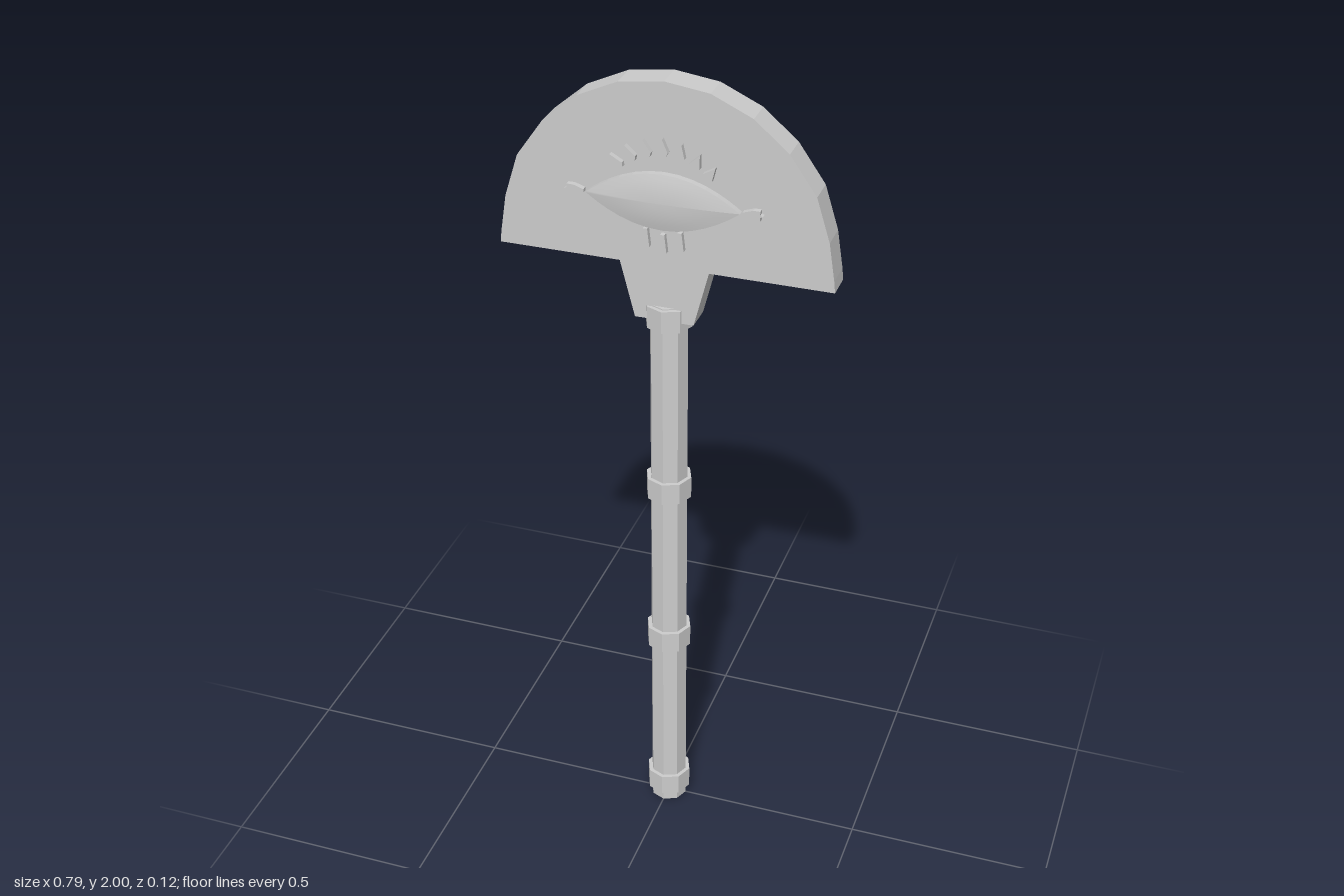
import * as THREE from 'three';

const steel = new THREE.MeshStandardMaterial({ color: 0xcccccc });
steel.name = 'plain grey';

const EYE_Y = 1.725, FACE = 0.035;

function add(parent, name, geometry, x = 0, y = 0, z = 0) {
  const mesh = new THREE.Mesh(geometry, steel);
  mesh.name = name;
  mesh.position.set(x, y, z);
  parent.add(mesh);
  return mesh;
}

function slab(points, depth) {
  const shape = new THREE.Shape(points.map(p => new THREE.Vector2(p[0], p[1])));
  return new THREE.ExtrudeGeometry(shape, { depth, bevelEnabled: false });
}

// eight-sided faceted prism
function prism(radius, height) {
  const g = new THREE.CylinderGeometry(radius, radius, height, 8).toNonIndexed();
  g.computeVertexNormals();
  return g;
}

// almond outline with sharp corners left and right
const almond = (a, r = 1) => {
  const s = Math.sin(a);
  return [0.178 * r * Math.cos(a), 0.067 * r * s * Math.abs(s)];
};

function createEye() {
  const eye = new THREE.Group();
  eye.name = 'eyeOrnament';

  // almond plate with a low dome on top
  const outline = [];
  for (let i = 0; i < 32; i++) outline.push(almond(i / 32 * Math.PI * 2));
  add(eye, 'eyePlate', slab(outline, 0.015), 0, EYE_Y, FACE);
  const dome = new THREE.RingGeometry(0.001, 1, 32, 5);
  const p = dome.attributes.position;
  for (let i = 0; i < p.count; i++) {
    const r = Math.hypot(p.getX(i), p.getY(i));
    const [x, y] = almond(Math.atan2(p.getY(i), p.getX(i)), r);
    p.setXYZ(i, x, y, 0.009 * (1 - r * r));
  }
  dome.computeVertexNormals();
  add(eye, 'eyeDome', dome, 0, EYE_Y, FACE + 0.015);

  // pointed upper lashes fanned along the lid: x, y, tilt
  const lash = slab([[-0.008, -0.018], [0.008, -0.018], [0.013, -0.009], [0, 0.021], [-0.013, -0.009]], 0.013);
  const lashes = [[0, 1.851, 0], [0.04, 1.844, 0.2], [0.077, 1.828, 0.42], [0.108, 1.805, 0.65]];
  for (const [x, y, tilt] of lashes) {
    for (const side of x ? [-1, 1] : [1]) {
      add(eye, 'upperLash', lash, side * x, y, FACE).rotation.z = -side * tilt;
    }
  }

  // lower lashes, flaring downwards
  const drop = slab([[-0.01, -0.02], [0, -0.024], [0.01, -0.02], [0.005, 0.024], [-0.005, 0.024]], 0.013);
  for (const x of [-0.04, 0, 0.04]) add(eye, 'lowerLash', drop, x, x ? 1.632 : 1.622, FACE);

  // small pointed studs at both corners
  const stud = slab([[-0.022, -0.004], [0.002, -0.012], [0.018, -0.012], [0.018, -0.003], [0.024, 0],
    [0.018, 0.003], [0.018, 0.012], [0.002, 0.012], [-0.022, 0.004]], 0.013);
  add(eye, 'cornerStud', stud, 0.205, EYE_Y, FACE);
  add(eye, 'cornerStud', stud, -0.205, EYE_Y, FACE + 0.013).rotation.y = Math.PI;
  return eye;
}

export function createModel() {
  const model = new THREE.Group();
  model.name = 'ceremonialAxe';

  // octagonal shaft and its bands
  add(model, 'shaft', prism(0.046, 1.46), 0, 0.73, 0);
  for (const y of [0.055, 0.522, 0.965, 1.43]) add(model, 'band', prism(0.056, 0.055), 0, y, 0);

  // half-round head with a tapering neck
  const half = [[0.07, 1.425], [0.105, 1.562], [0.393, 1.562], [0.39, 1.59], [0.376, 1.68],
    [0.344, 1.783], [0.281, 1.873], [0.2, 1.942], [0.104, 1.986]];
  const mirrored = half.map(([x, y]) => [-x, y]).reverse();
  add(model, 'head', slab([...half, [0, 2], ...mirrored], FACE * 2), 0, 0, -FACE);

  // the same ornament on front and back
  const front = createEye();
  const back = createEye();
  back.rotation.y = Math.PI;
  model.add(front, back);
  return model;
}
